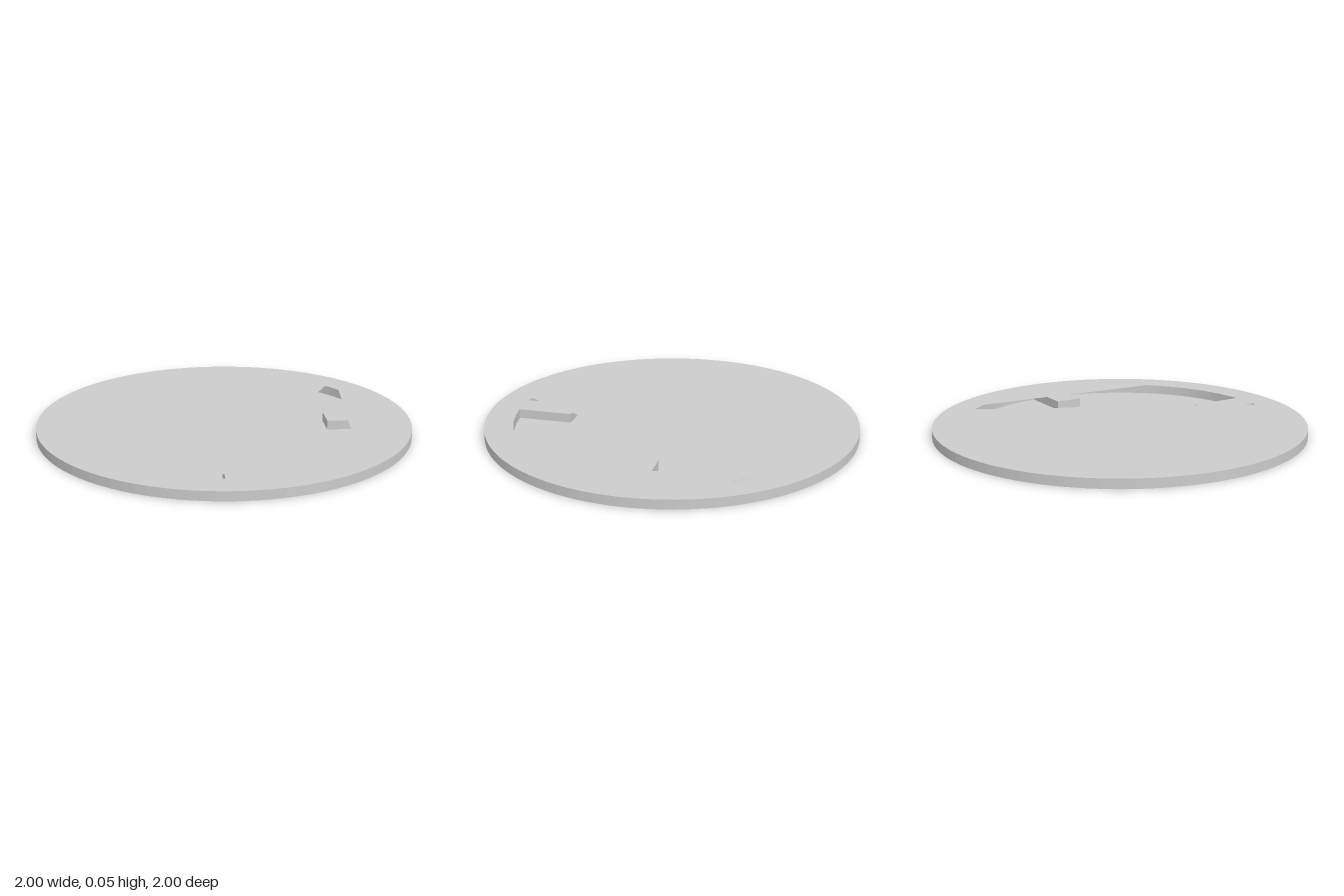
import * as THREE from 'three';

const H = 0.05;    // disc thickness
const R = 0.847;   // radius of the inner cut
const B = 0.072;   // half width of the four bars
const E = 0.55;    // distance of the bar ends from the centre
const SEG = 96;

// Points [x, z] along an arc from angle a to angle b
function arc(r, a, b, n = 16) {
  return Array.from({ length: n + 1 }, (_, i) => {
    const t = a + (b - a) * i / n;
    return [r * Math.cos(t), r * Math.sin(t)];
  });
}
const angle = (x, z) => Math.atan2(z, x);

// Flat cap with openings, facing up or down
function cap(openings, up) {
  const s = up ? -1 : 1;
  const toV2 = pts => pts.map(([x, z]) => new THREE.Vector2(x, s * z));
  const shape = new THREE.Shape(toV2(arc(1, 0, Math.PI * 2, SEG).slice(0, -1)));
  for (const o of openings) shape.holes.push(new THREE.Path(toV2(o)));
  const g = new THREE.ShapeGeometry(shape);
  g.rotateX(s * Math.PI / 2);
  if (up) g.translate(0, H, 0);
  return g;
}

// Upright wall that follows a closed loop of [x, z] points
function wall(loop) {
  const pos = [];
  loop.forEach(([x0, z0], i) => {
    const [x1, z1] = loop[(i + 1) % loop.length];
    pos.push(x0, 0, z0, x1, 0, z1, x1, H, z1, x0, 0, z0, x1, H, z1, x0, H, z0);
  });
  const g = new THREE.BufferGeometry();
  g.setAttribute('position', new THREE.Float32BufferAttribute(pos, 3));
  g.computeVertexNormals();
  return g;
}

export function createModel() {
  const group = new THREE.Group();
  const material = new THREE.MeshStandardMaterial({
    color: 0xcccccc, flatShading: true, side: THREE.DoubleSide,
  });
  const add = (name, geometry) => {
    const mesh = new THREE.Mesh(geometry, material);
    mesh.name = name;
    group.add(mesh);
  };
  const c = Math.sqrt(R * R - B * B);
  const b = Math.asin(B / R);

  // Openings in the top: a large slanted one and a small triangle
  const topLarge = [
    [0.05, 0.55], [0.65, -0.55], [0.71, -0.47], [0.68, -B], [E, -B], [E, B], [0.663, B],
    ...arc(R, angle(0.62, 0.58), Math.PI / 2 - b), [B, E],
  ];
  const topSmall = [[-B, 0.78], [-B, c], [-0.11, 0.84]];

  // Openings in the underside: two slivers on either side of a bar
  const underFront = [[-0.73, B], ...arc(R, Math.PI - b, angle(-0.70, 0.475))];
  const underBack = [[-0.75, -B], ...arc(R, Math.PI + b, angle(-0.767, -0.365) + 2 * Math.PI)];

  add('topFace', cap([topLarge, topSmall], true));
  add('underside', cap([underFront, underBack], false));

  // Outer rim
  add('rim', wall(arc(1, 0, Math.PI * 2, SEG).slice(0, -1)));

  // Inner cut: a ring with four bars reaching in
  const inner = [];
  for (let k = 0; k < 4; k++) {
    const cs = Math.round(Math.cos(k * Math.PI / 2));
    const sn = Math.round(Math.sin(k * Math.PI / 2));
    const quarter = [[c, -B], [E, -B], [E, B], ...arc(R, b, Math.PI / 2 - b, 24).slice(0, -1)];
    for (const [x, z] of quarter) inner.push([x * cs - z * sn, x * sn + z * cs]);
  }
  add('innerWall', wall(inner));

  return group;
}
